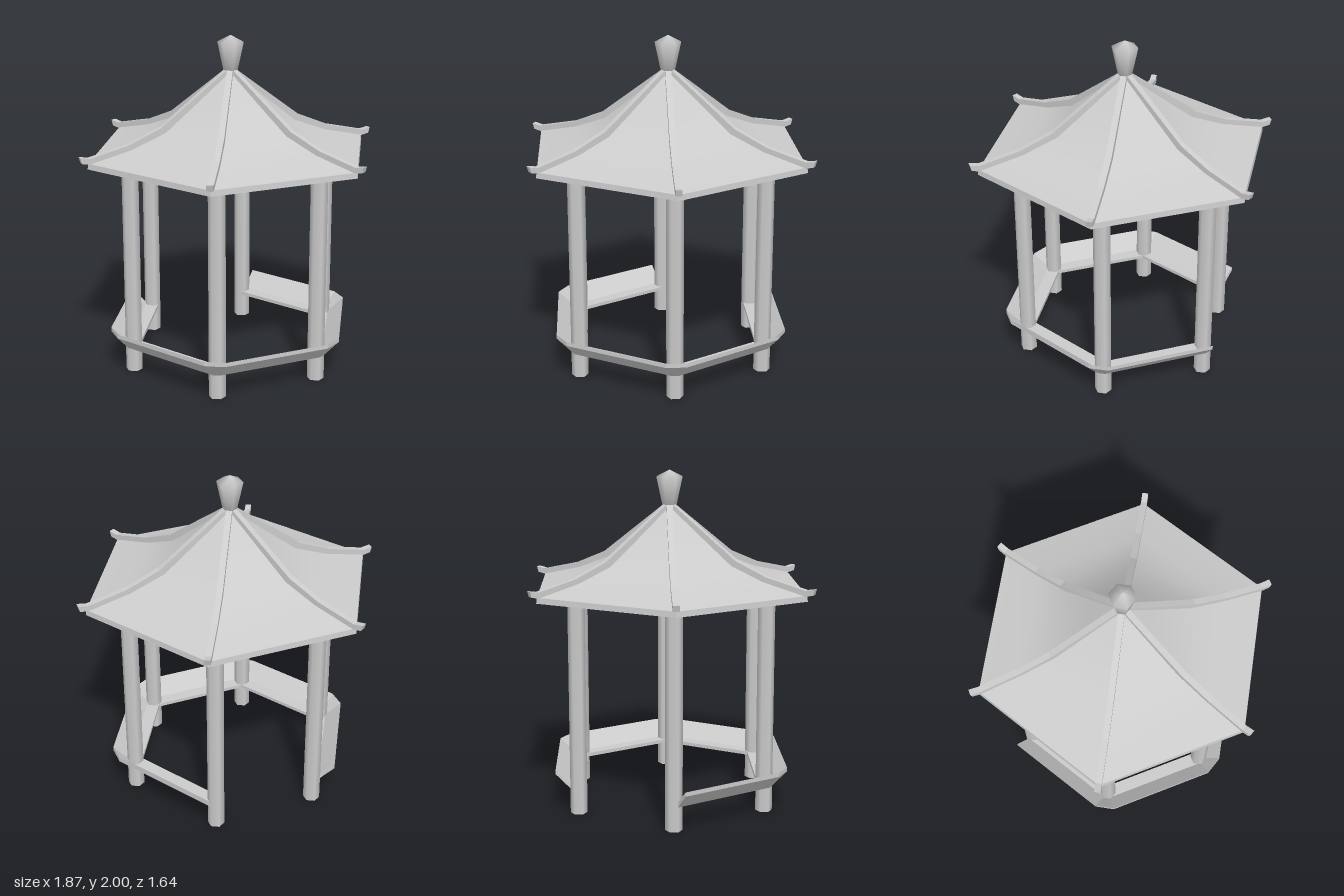
import * as THREE from 'three';

const SIDES = 6;
const STEP = Math.PI / 3;
const grey = new THREE.MeshStandardMaterial({ color: 0xcccccc, side: THREE.DoubleSide });
const greyFlat = new THREE.MeshStandardMaterial({ color: 0xcccccc, flatShading: true, side: THREE.DoubleSide });

function addMesh(parent, name, geometry, material) {
  const mesh = new THREE.Mesh(geometry, material);
  mesh.name = name;
  parent.add(mesh);
  return mesh;
}

// Six-sided lathe; start turns the corners onto x (PI / 2) or z (0)
function hexLathe(profile, start) {
  const points = profile.map(([r, y]) => new THREE.Vector2(r, y));
  return new THREE.LatheGeometry(points, SIDES, start);
}

// One of six roof panels, facing +z; the profile runs from peak to eave
function roofPanel(profile) {
  const geometry = new THREE.PlaneGeometry(1, 1, 1, profile.length - 1);
  const pos = geometry.attributes.position;
  for (let i = 0; i < pos.count; i++) {
    const [r, y] = profile[Math.floor(i / 2)];
    pos.setXYZ(i, r * pos.getX(i), y, r * Math.cos(Math.PI / 6));
  }
  geometry.computeVertexNormals();
  return geometry;
}

// Bench with a slanted back board round five sides, corners cut, open at the back
function benchGeometry() {
  const inner = { r: 0.59, half: 0 };
  const crease = { r: 0.668, half: 0.02 };
  const low = { r: 0.68, half: 0.022 };
  const high = { r: 0.757, half: 0.059 };
  const section = [[low, 0.15], [high, 0.24], [high, 0.265], [crease, 0.172], [inner, 0.172], [inner, 0.15]];
  const n = section.length;
  const positions = [];
  const index = [];
  let rows = 0;
  for (let k = 0; k < SIDES; k++) {
    const a = (k - 1) * STEP;
    for (const s of [-1, 1]) {
      if ((k === 0 && s < 0) || (k === SIDES - 1 && s > 0)) continue;
      for (const [{ r, half }, y] of section) {
        positions.push(
          r * Math.cos(a) - s * half * Math.sin(a), y,
          r * Math.sin(a) + s * half * Math.cos(a));
      }
      rows++;
    }
  }
  for (let i = 0; i < rows - 1; i++) {
    for (let j = 0; j < n; j++) {
      const p = i * n + j;
      const q = i * n + (j + 1) % n;
      index.push(p, q, p + n, q, q + n, p + n);
    }
  }
  // End caps
  const e = (rows - 1) * n;
  for (let j = 1; j < n - 1; j++) index.push(0, j + 1, j, e, e + j, e + j + 1);
  const indexed = new THREE.BufferGeometry();
  indexed.setAttribute('position', new THREE.Float32BufferAttribute(positions, 3));
  indexed.setIndex(index);
  const geometry = indexed.toNonIndexed();
  geometry.computeVertexNormals();
  return geometry;
}

// Curved hip rib with an upturned tip, lying along +x
function ribGeometry() {
  const top = [[0.02, 1.805], [0.22, 1.655], [0.44, 1.49], [0.64, 1.406], [0.88, 1.35], [0.935, 1.36]];
  const bottom = [[0.925, 1.325], [0.875, 1.315], [0.63, 1.37], [0.42, 1.452], [0.2, 1.62], [0.02, 1.76]];
  const shape = new THREE.Shape([...top, ...bottom].map(([x, y]) => new THREE.Vector2(x, y)));
  const width = 0.036;
  const geometry = new THREE.ExtrudeGeometry(shape, { depth: width, bevelEnabled: false });
  return geometry.translate(0, 0, -width / 2);
}

export function createModel() {
  const model = new THREE.Group();
  model.name = 'pavilion';

  // Posts, reaching up to the flat soffit
  const posts = new THREE.Group();
  posts.name = 'posts';
  model.add(posts);
  const postGeometry = new THREE.CylinderGeometry(0.05, 0.05, 1.29, SIDES);
  for (let k = 0; k < SIDES; k++) {
    const post = addMesh(posts, 'post', postGeometry, grey);
    post.position.set(0.635 * Math.cos(k * STEP), 0.645, 0.635 * Math.sin(k * STEP));
  }

  // Bench
  addMesh(model, 'bench', benchGeometry(), greyFlat);

  // Roof: upper panels, eave edge, flat soffit and hollow ceiling
  const roof = new THREE.Group();
  roof.name = 'roof';
  model.add(roof);
  const panel = roofPanel([[0.02, 1.785], [0.21, 1.63], [0.425, 1.458], [0.63, 1.378], [0.884, 1.318]]);
  const rib = ribGeometry();
  for (let k = 0; k < SIDES; k++) {
    addMesh(roof, 'roofPanel', panel, grey).rotation.y = k * STEP;
    addMesh(roof, 'hipRib', rib, greyFlat).rotation.y = k * STEP;
  }
  const ceiling = [[0, 1.75], [0.2, 1.59], [0.4, 1.415], [0.59, 1.286]];
  addMesh(roof, 'ceiling', hexLathe(ceiling, Math.PI / 2), grey);
  addMesh(roof, 'soffit', hexLathe([[0.59, 1.286], [0.888, 1.285]], Math.PI / 2), greyFlat);
  addMesh(roof, 'eaveEdge', hexLathe([[0.888, 1.285], [0.884, 1.318]], Math.PI / 2), greyFlat);

  // Finial
  addMesh(model, 'finial', hexLathe([[0, 1.795], [0.043, 1.795], [0.078, 1.96], [0, 2]], 0), grey);

  return model;
}
